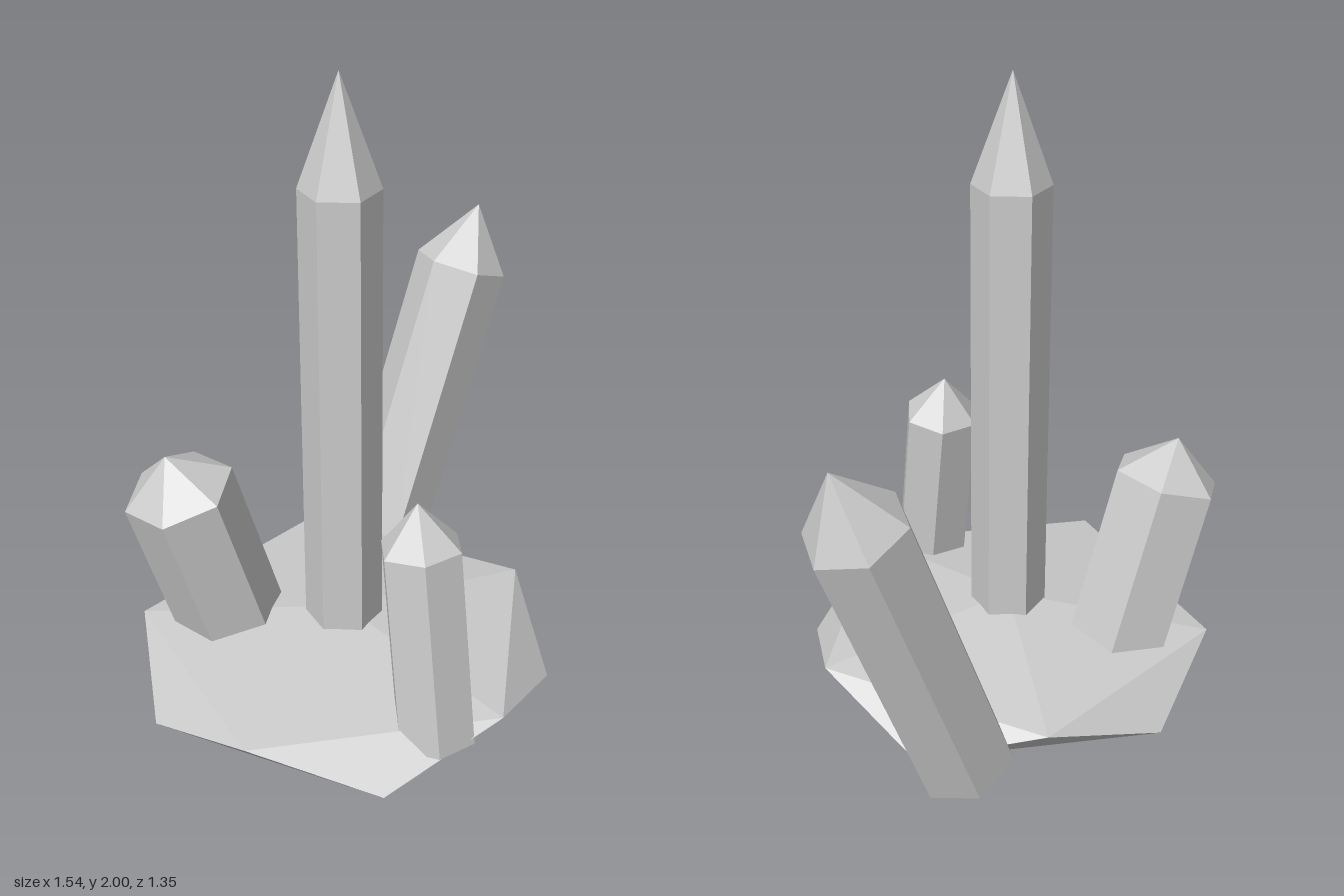
import * as THREE from 'three';

const stone = new THREE.MeshStandardMaterial({ color: 0xcccccc, flatShading: true });
stone.name = 'paleGreyStone';

// Six-sided prism with a pointed end, running from base to tip.
// shoulder: share of the length where the point begins; turn: direction of one corner in degrees, from +x towards +z.
function crystal(name, base, tip, shoulder, radius, turn) {
  const start = new THREE.Vector3(...base);
  const axis = new THREE.Vector3(...tip).sub(start);
  const length = axis.length();
  const profile = [[0, 0], [radius, 0], [radius, length * shoulder], [0, length]]
    .map(([x, y]) => new THREE.Vector2(x, y));
  const geometry = new THREE.LatheGeometry(profile, 6);
  geometry.rotateY(THREE.MathUtils.degToRad(30 - turn));
  const mesh = new THREE.Mesh(geometry, stone);
  mesh.name = name;
  mesh.position.copy(start);
  mesh.quaternion.setFromUnitVectors(new THREE.Vector3(0, 1, 0), axis.normalize());
  return mesh;
}

export function createModel() {
  const model = new THREE.Group();
  model.name = 'crystalCluster';

  // Flattened twenty-sided rock, turned so one corner points straight up
  const rock = new THREE.IcosahedronGeometry(1, 0);
  rock.rotateZ(-Math.atan(2 / (1 + Math.sqrt(5))));
  rock.scale(0.716, 0.145, 0.716);
  const baseRock = new THREE.Mesh(rock, stone);
  baseRock.name = 'baseRock';
  baseRock.position.set(-0.13, 0.145, 0.055);

  model.add(
    baseRock,
    crystal('tallCrystal', [-0.13, 0.14, 0.055], [-0.13, 2, 0.055], 0.823, 0.118, 30),
    crystal('leaningCrystal', [0.294, 0.15, -0.465], [0.704, 1.255, -0.54], 0.825, 0.151, -18),
    crystal('wideCrystal', [-0.398, 0.17, -0.182], [-0.6, 0.845, -0.17], 0.815, 0.171, 11),
    crystal('smallCrystal', [-0.1, 0.14, 0.565], [-0.11, 0.885, 0.46], 0.821, 0.124, -5),
  );
  return model;
}
